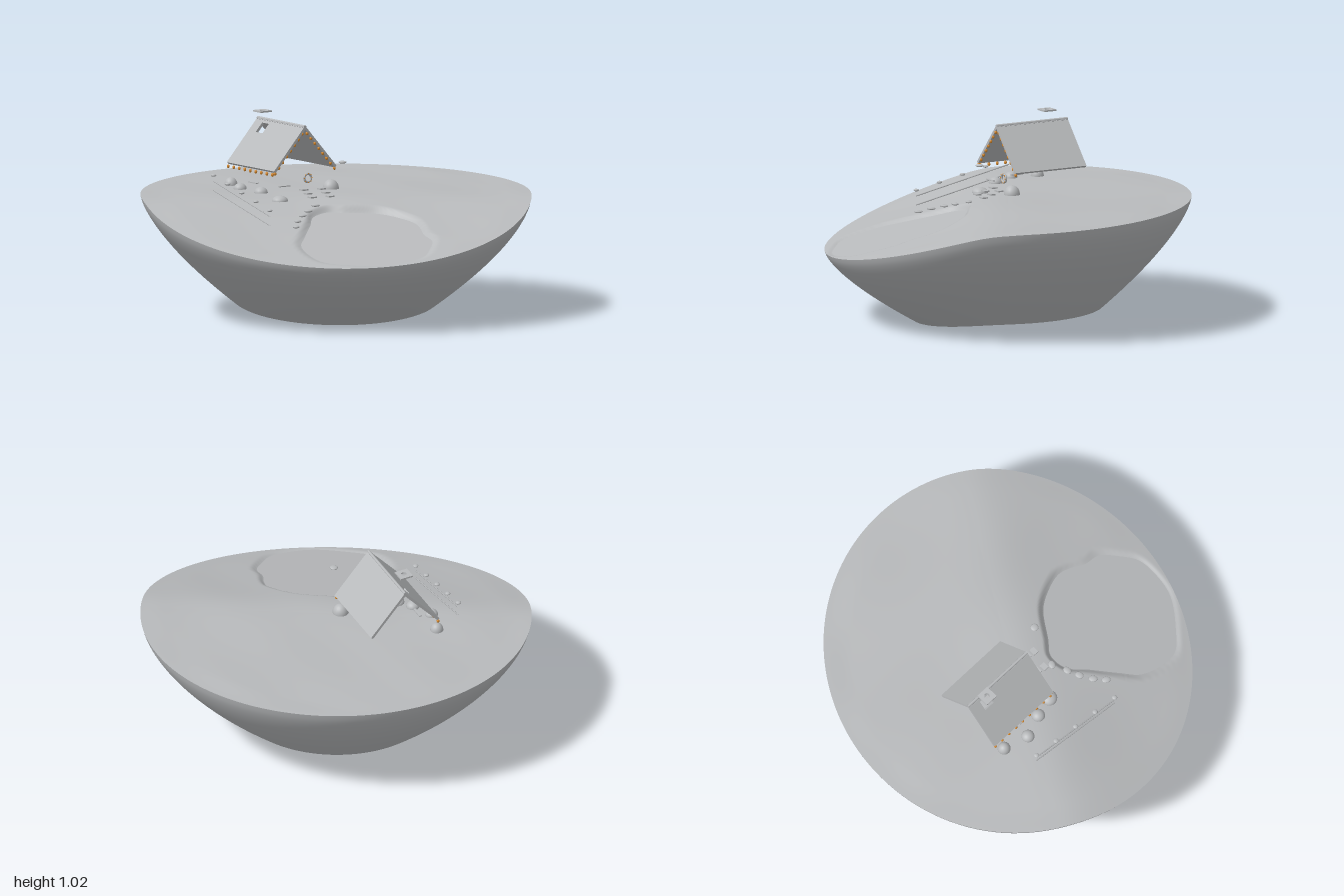
import * as THREE from 'three';

const gray = new THREE.MeshStandardMaterial({ color: 0xb8babc, side: THREE.DoubleSide });
gray.name = 'snow gray';
const orange = new THREE.MeshStandardMaterial({ color: 0xd98a2b });
orange.name = 'bulb orange';

const DEPTH = 0.9385; // front-to-back radius of the island
const smooth = THREE.MathUtils.smoothstep;

// Ground falls away towards the front
const slopeDrop = z => 0.3 * 0.06 * Math.log(1 + Math.exp((z - 0.09) / 0.06));
const rimY = z => 0.611 - slopeDrop(z) + 0.026 * Math.max(0, -z);
const lakeY = z => 0.545 - 0.262 * (z - 0.21);

// Lake outline as x, z pairs
const lakeCurve = new THREE.CatmullRomCurve3([
  [-0.064, 0.21], [0.03, 0.22], [0.19, 0.235], [0.28, 0.28], [0.37, 0.36], [0.395, 0.43],
  [0.405, 0.51], [0.44, 0.59], [0.42, 0.695], [0.38, 0.79], [0.28, 0.86], [0.165, 0.898],
  [-0.02, 0.88], [-0.14, 0.845], [-0.2, 0.765], [-0.235, 0.64], [-0.21, 0.535],
  [-0.165, 0.375], [-0.14, 0.27],
].map(([x, z]) => new THREE.Vector3(x, 0, z)), true);
const outline = lakeCurve.getPoints(150);
const LX = 0.1, LZ = 0.56;

// Lake radius for every compass angle
const radii = outline
  .map(p => ({ a: Math.atan2(p.z - LZ, p.x - LX), r: Math.hypot(p.x - LX, p.z - LZ) }))
  .sort((p, q) => p.a - q.a);
function lakeRadius(a) {
  const i = radii.findIndex(p => p.a > a);
  const hi = radii[i < 0 ? 0 : i], lo = radii[(i <= 0 ? radii.length : i) - 1];
  if (i <= 0) return (hi.r + lo.r) / 2;
  return THREE.MathUtils.lerp(lo.r, hi.r, (a - lo.a) / (hi.a - lo.a || 1));
}

function groundY(x, z) {
  const fade = 1 - smooth(Math.hypot(x, z / DEPTH), 0.85, 1);
  const bumps = 0.003 * (Math.sin(7 * x + 3 * z) + Math.sin(9 * z - 5 * x + 1) * Math.cos(6 * x));
  const y = rimY(z) + fade * bumps;
  const gap = Math.hypot(x - LX, z - LZ) - lakeRadius(Math.atan2(z - LZ, x - LX));
  return THREE.MathUtils.lerp(Math.min(y, lakeY(z) - 0.006), y, smooth(gap, -0.005, 0.028));
}

// Move every vertex of a geometry by a rule
function warp(geo, rule) {
  const p = geo.attributes.position, v = new THREE.Vector3();
  for (let i = 0; i < p.count; i++) {
    rule(v.fromBufferAttribute(p, i));
    p.setXYZ(i, v.x, v.y, v.z);
  }
  geo.computeVertexNormals();
  return geo;
}

function add(parent, name, geo, x = 0, y = 0, z = 0, mat = gray) {
  const m = new THREE.Mesh(geo, mat);
  m.name = name;
  m.position.set(x, y, z);
  parent.add(m);
  return m;
}

function buildIsland(root) {
  // Top ground with the sunken lake bed
  add(root, 'ground', warp(new THREE.RingGeometry(0.0005, 1, 220, 110).rotateX(-Math.PI / 2), v => {
    v.z *= DEPTH;
    v.y = groundY(v.x, v.z);
  }));
  // Curved underside, open at the bottom
  add(root, 'islandBowl', warp(new THREE.CylinderGeometry(1, 1, 1, 128, 20, true), v => {
    const t = 0.5 - v.y, r = 1 - 0.48 * Math.pow(t, 1.4);
    const bottom = 0.062 - 0.02 * v.z * 0.488 - 0.42 * slopeDrop(v.z * 0.488);
    v.y = THREE.MathUtils.lerp(rimY(v.z * DEPTH), bottom, t);
    v.x *= r;
    v.z *= r * DEPTH;
  }));
  // Flat tilted ice
  const shape = new THREE.Shape(outline.slice(0, -1).map(p => new THREE.Vector2(p.x, -p.z)));
  add(root, 'lake', warp(new THREE.ShapeGeometry(shape).rotateX(-Math.PI / 2), v => { v.y = lakeY(v.z); }));
}

const rect = (path, x0, y0, x1, y1) =>
  path.moveTo(x0, y0).lineTo(x1, y0).lineTo(x1, y1).lineTo(x0, y1).closePath();

function buildHouse(root) {
  const house = new THREE.Group();
  house.name = 'house';
  house.position.set(-0.268, 0, -0.124);
  house.rotation.y = Math.PI / 6;
  root.add(house);

  const RUN = 0.195, RISE = 0.22, LEN = Math.hypot(RUN, RISE), RIDGE = 0.972, T = 0.014;
  for (const side of [-1, 1]) {
    // Roof slab, the left one open for the chimney
    const s = new THREE.Shape();
    rect(s, -0.21, 0, 0.21, LEN);
    if (side < 0) {
      const hole = new THREE.Path();
      rect(hole, -0.145, 0.03, -0.085, 0.09);
      s.holes.push(hole);
    }
    const down = new THREE.Vector3(side * RUN, -RISE, 0).normalize();
    const along = new THREE.Vector3(0, 0, 1);
    const normal = new THREE.Vector3().crossVectors(along, down);
    const geo = new THREE.ExtrudeGeometry(s, { depth: T, bevelEnabled: false });
    if (side > 0) geo.translate(0, 0, -T);
    geo.applyMatrix4(new THREE.Matrix4().makeBasis(along, down, normal));
    add(house, side < 0 ? 'roofLeft' : 'roofRight', geo, 0, RIDGE, 0);
    // Gable lights
    for (let i = 0; i < 8; i++) {
      const k = (i + 0.6) / 8;
      add(house, 'gableBulb', bulb, side * RUN * k, RIDGE - 0.024 - RISE * k, 0.205, orange);
    }
  }
  const ridge = new THREE.CylinderGeometry(0.008, 0.008, 0.42, 10).rotateX(Math.PI / 2);
  add(house, 'roofRidge', ridge, 0, RIDGE - 0.005, 0);
  // Eave lights
  for (let i = 0; i < 9; i++) add(house, 'eaveBulb', bulb, -RUN + 0.004, 0.732, 0.19 - i * 0.049, orange);

  // Chimney cap
  const cap = new THREE.Shape(), flue = new THREE.Path();
  rect(cap, -0.035, -0.035, 0.035, 0.035);
  flue.absarc(0, 0, 0.014, 0, Math.PI * 2);
  cap.holes.push(flue);
  const capGeo = new THREE.ExtrudeGeometry(cap, { depth: 0.008, bevelEnabled: false }).rotateX(-Math.PI / 2);
  add(house, 'chimneyCap', capGeo, -0.04, 1.011, -0.114);

  // Door wreath with small lights
  add(house, 'wreath', new THREE.TorusGeometry(0.021, 0.006, 8, 24), 0.033, 0.698, 0.185);
  for (let i = 0; i < 8; i++) {
    const a = i * Math.PI / 4;
    add(house, 'wreathBulb', smallBulb, 0.033 + 0.023 * Math.cos(a), 0.698 + 0.023 * Math.sin(a), 0.19, orange);
  }
  // Snow on the window sills
  add(house, 'frontSill', new THREE.BoxGeometry(0.07, 0.005, 0.014), -0.11, 0.666, 0.18);
  add(house, 'sideSill', new THREE.BoxGeometry(0.014, 0.005, 0.07), -0.17, 0.668, -0.01);
}

const bulb = new THREE.SphereGeometry(0.0075, 8, 6).scale(1, 1.3, 1);
const smallBulb = new THREE.SphereGeometry(0.0035, 6, 4);

function buildGarden(root) {
  // Snow caps on the bushes: x, base y, z, radius, height
  const dome = new THREE.SphereGeometry(1, 18, 8, 0, Math.PI * 2, 0, Math.PI / 2);
  for (const [x, y, z, r, h] of [
    [-0.025, 0.636, -0.02, 0.042, 0.048], [-0.3, 0.597, 0.14, 0.042, 0.028],
    [-0.525, 0.642, -0.155, 0.034, 0.04], [-0.49, 0.64, -0.02, 0.034, 0.03],
    [-0.39, 0.63, 0.06, 0.035, 0.03]]) {
    add(root, 'bushSnow', dome, x, y, z).scale.set(r, h, r);
  }
  // Lamp cap
  add(root, 'lampCap', new THREE.SphereGeometry(0.021, 14, 8).scale(1, 0.35, 1), 0.02, 0.795, 0.145);

  // Stepping stones
  const stone = new THREE.SphereGeometry(0.024, 10, 6).scale(1, 0.3, 0.75);
  for (const [x, z, turn] of [[-0.123, 0.2, 0.1], [-0.166, 0.27, 0.6], [-0.2, 0.325, 0.9],
    [-0.23, 0.39, 1.2], [-0.245, 0.455, 1.5]]) {
    add(root, 'steppingStone', stone, x, rimY(z) + 0.006, z).rotation.y = turn;
  }
  // Two rows of snowy steps in front of the door
  const step = new THREE.BoxGeometry(0.036, 0.007, 0.03);
  for (const [x0, z0] of [[-0.172, 0.075], [-0.078, 0.045]]) {
    for (let i = 0; i < 3; i++) {
      add(root, 'step', step, x0 + i * 0.018, 0.645 - i * 0.014, z0 + i * 0.04).rotation.y = Math.PI / 6;
    }
  }

  // Fence: post caps and two thin rails
  const start = new THREE.Vector3(-0.627, 0.713, -0.01), end = new THREE.Vector3(-0.38, 0.595, 0.465);
  const postCap = new THREE.SphereGeometry(0.014, 12, 8).scale(1, 0.5, 1);
  for (let i = 0; i < 5; i++) {
    const p = start.clone().lerp(end, i / 4);
    add(root, 'fencePostCap', postCap, p.x, p.y, p.z);
  }
  for (const drop of [0.03, 0.077]) {
    const low = new THREE.Vector3(0, drop, 0);
    const line = new THREE.LineCurve3(start.clone().sub(low), end.clone().sub(low));
    add(root, 'fenceRail', new THREE.TubeGeometry(line, 1, 0.0035, 6));
  }
}

export function createModel() {
  const root = new THREE.Group();
  root.name = 'winterIsland';
  buildIsland(root);
  buildHouse(root);
  buildGarden(root);
  return root;
}
